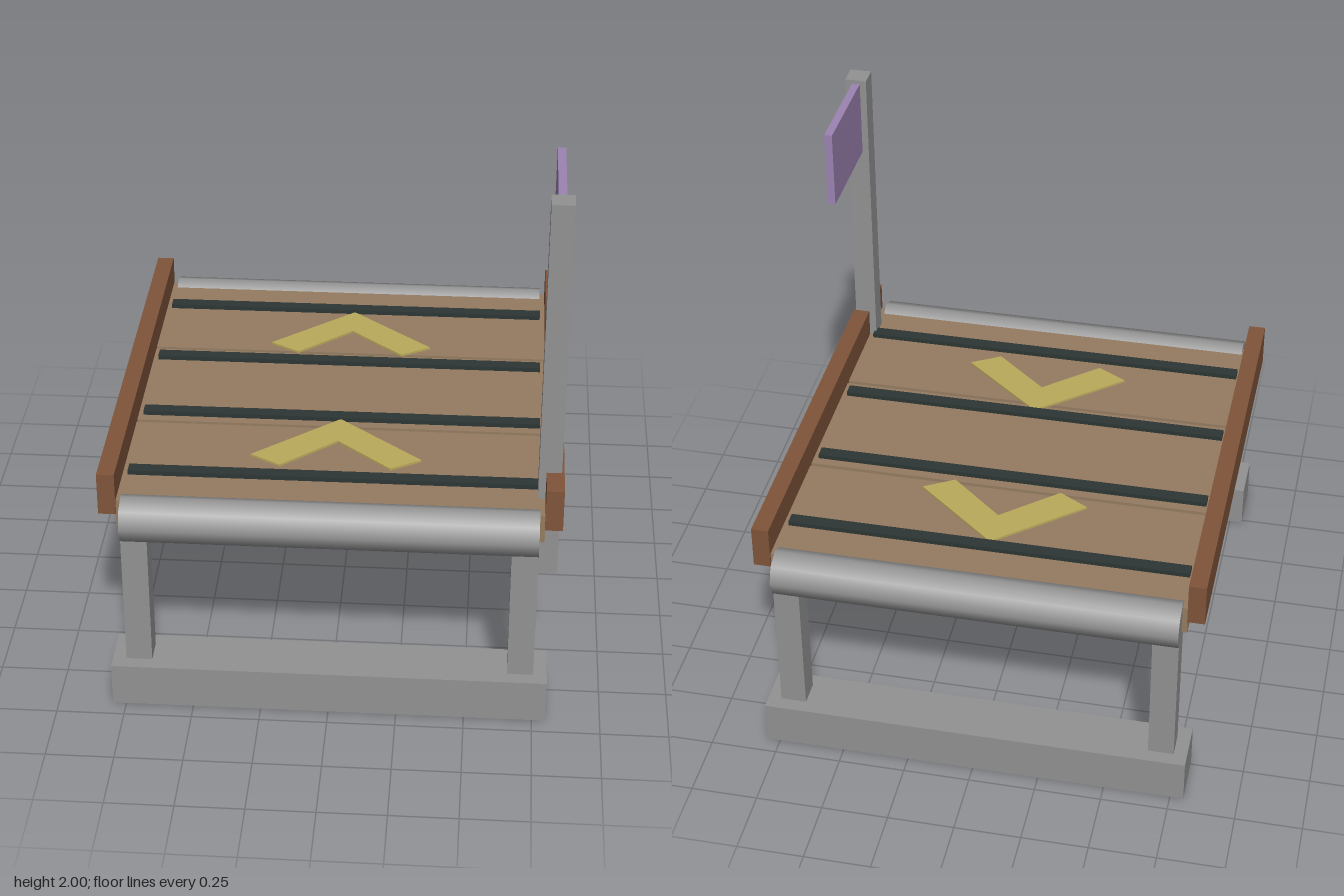
import * as THREE from 'three';

export function createModel() {
  const model = new THREE.Group();
  model.name = 'conveyor';

  const mat = (name, color) => {
    const m = new THREE.MeshStandardMaterial({ color });
    m.name = name;
    return m;
  };
  const metal = mat('grey metal', 0x929292);
  const rust = mat('rust brown', 0x80543a);
  const tan = mat('tan board', 0x957c62);
  const dark = mat('dark rubber', 0x2c3634);
  const yellow = mat('faded yellow', 0xbaaa5c);
  const purple = mat('purple flag', 0x9c83b2);

  const add = (name, geometry, material) => {
    const mesh = new THREE.Mesh(geometry, material);
    mesh.name = name;
    model.add(mesh);
    return mesh;
  };
  // Box given by its lower and upper limits on each axis
  const box = (name, material, [x0, x1], [y0, y1], [z0, z1]) => {
    const mesh = add(name, new THREE.BoxGeometry(x1 - x0, y1 - y0, z1 - z0), material);
    mesh.position.set((x0 + x1) / 2, (y0 + y1) / 2, (z0 + z1) / 2);
    return mesh;
  };
  const around = (c, size) => [c - size / 2, c + size / 2];

  // Feet, legs and end rollers, front and back
  for (const s of [1, -1]) {
    box('foot', metal, [-0.8, 0.8], [0, 0.168], around(s * 0.835, 0.2));
    for (const side of [1, -1]) {
      box('leg', metal, around(side * 0.702, 0.096), [0.168, 0.72], around(s * 0.835, 0.096));
    }
    const roller = add('roller', new THREE.CylinderGeometry(0.088, 0.088, 1.5, 8), metal);
    roller.rotation.z = Math.PI / 2;
    roller.position.set(0, 0.758, s * 0.83);
  }

  // Deck boards with narrow gaps
  for (const z of [-0.556, 0, 0.556]) {
    box('deckBoard', tan, [-0.77, 0.77], [0.715, 0.827], around(z, 0.54));
  }

  // Dark cross strips
  for (const z of [-0.63, -0.21, 0.21, 0.63]) {
    box('crossStrip', dark, [-0.75, 0.75], [0.82, 0.844], around(z, 0.048));
  }

  // Direction arrows pointing to the back
  const arrow = new THREE.Shape([
    [0, 0], [0.315, -0.268], [0.203, -0.334], [0, -0.155], [-0.203, -0.334], [-0.315, -0.268],
  ].map(([x, y]) => new THREE.Vector2(x, y)));
  const arrowGeometry = new THREE.ExtrudeGeometry(arrow, { depth: 0.009, bevelEnabled: false });
  arrowGeometry.rotateX(-Math.PI / 2);
  for (const z of [-0.605, 0.23]) {
    add('directionArrow', arrowGeometry, yellow).position.set(0, 0.827, z);
  }

  // Side rails
  for (const side of [1, -1]) {
    box('sideRail', rust, around(side * 0.801, 0.064), [0.772, 0.937], [-0.834, 0.834]);
  }

  // Signal post and flag on the left side
  box('post', metal, [0.742, 0.824], [0.502, 2], [0.629, 0.711]);
  box('flag', purple, [0.767, 0.797], [1.688, 1.985], [0.222, 0.629]);

  return model;
}
